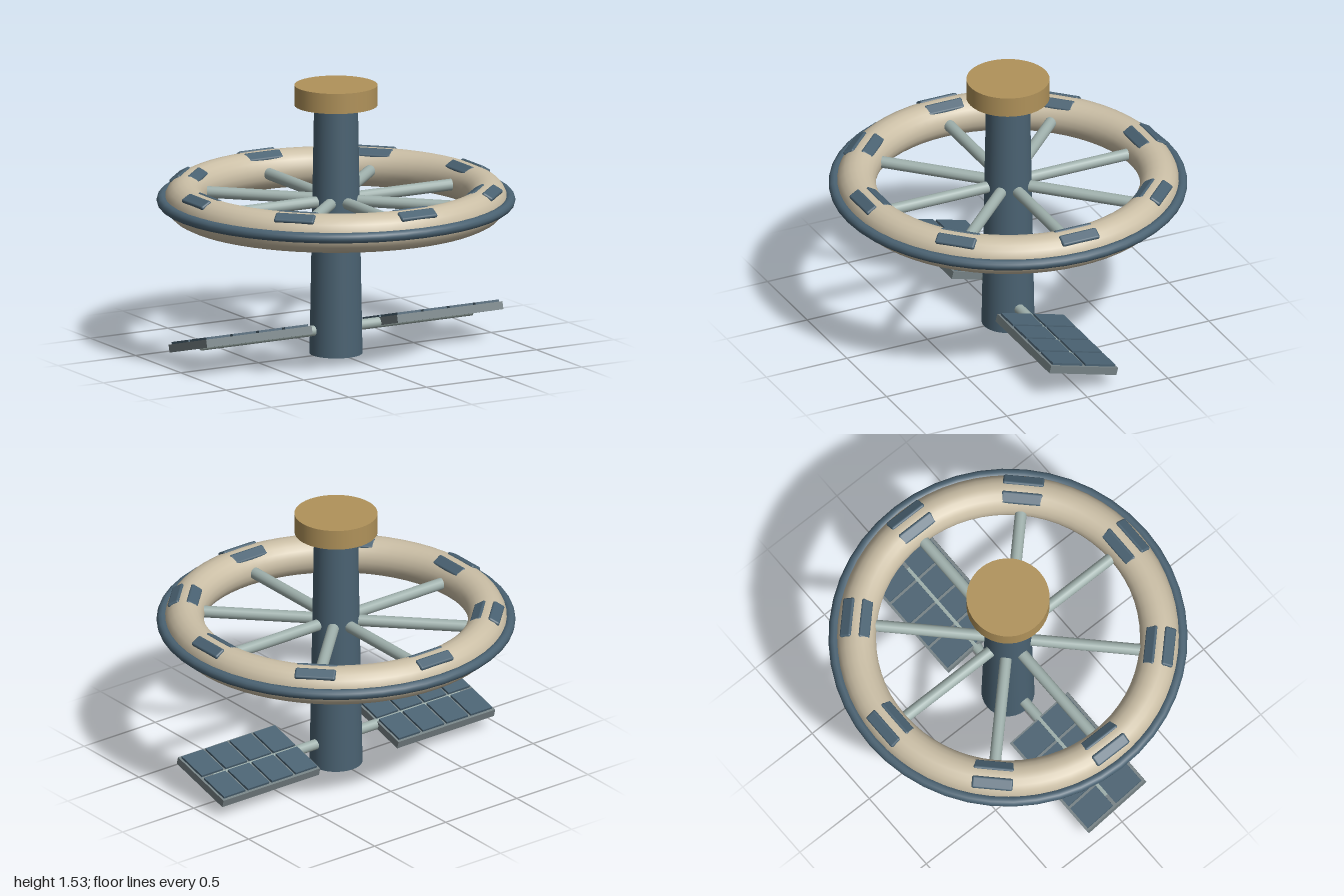
import * as THREE from 'three';
import { RoundedBoxGeometry } from 'three/addons/geometries/RoundedBoxGeometry.js';

const material = (name, color) => {
  const m = new THREE.MeshStandardMaterial({ color });
  m.name = name;
  return m;
};

export function createModel() {
  const blue = material('slate blue', 0x4a6272);
  const cream = material('cream hull', 0xcbbfa6);
  const pale = material('pale strut', 0x9fb0ac);
  const gold = material('gold cap', 0xb0925a);
  const grey = material('grey frame', 0x768285);

  const model = new THREE.Group();
  model.name = 'spaceStation';
  const add = (parent, name, geometry, mat, x = 0, y = 0, z = 0) => {
    const mesh = new THREE.Mesh(geometry, mat);
    mesh.name = name;
    mesh.position.set(x, y, z);
    parent.add(mesh);
    return mesh;
  };

  // Central tower and docking cap
  add(model, 'tower', new THREE.CylinderGeometry(0.122, 0.148, 1.44, 32), blue, 0, 0.72, 0);
  add(model, 'dockingCap', new THREE.CylinderGeometry(0.232, 0.232, 0.115, 40), gold, 0, 1.4725, 0);

  // Habitat ring with its outer bumper
  const ringY = 0.875, ringR = 0.845, tubeR = 0.11;
  add(model, 'habitatRing', new THREE.TorusGeometry(ringR, tubeR, 20, 64).rotateX(Math.PI / 2), cream, 0, ringY, 0);
  add(model, 'bumperRing', new THREE.TorusGeometry(0.97, 0.03, 12, 48).rotateX(Math.PI / 2), blue, 0, ringY, 0);

  // Eight sectors: a spoke and a pair of windows set into the ring's crown
  const spokeGeo = new THREE.CylinderGeometry(0.033, 0.033, 0.66, 16).rotateZ(Math.PI / 2);
  const windowGeo = new RoundedBoxGeometry(0.07, 0.026, 0.23, 3, 0.012);
  for (let i = 0; i < 8; i++) {
    const sector = new THREE.Group();
    sector.name = 'sector';
    sector.position.y = ringY;
    sector.rotation.y = i * Math.PI / 4;
    add(sector, 'spoke', spokeGeo, pale, 0.43, 0, 0);
    for (const side of [1, -1]) {
      const tilt = THREE.MathUtils.degToRad(30);
      const reach = tubeR - 0.008;
      const pane = add(sector, side > 0 ? 'outerWindow' : 'innerWindow', windowGeo, blue,
        ringR + 0.003 + side * reach * Math.sin(tilt), reach * Math.cos(tilt), 0);
      pane.rotation.z = -side * tilt;
    }
    model.add(sector);
  }

  // Boom carrying both solar wings
  add(model, 'wingBoom', new THREE.CylinderGeometry(0.03, 0.03, 1.74, 16).rotateZ(Math.PI / 2), pale, 0, 0.142, 0);

  // Solar wings: tilted frame with a 4 x 2 grid of cells
  const frameGeo = new THREE.BoxGeometry(0.68, 0.045, 0.43);
  const cellGeo = new THREE.BoxGeometry(0.15, 0.018, 0.19);
  for (const side of [1, -1]) {
    const wing = new THREE.Group();
    wing.name = side > 0 ? 'leftWing' : 'rightWing';
    wing.position.set(side * 0.615, 0.147, 0);
    wing.rotation.x = -0.26;
    add(wing, 'wingFrame', frameGeo, grey);
    for (let c = 0; c < 4; c++)
      for (const z of [-0.105, 0.105])
        add(wing, 'solarCell', cellGeo, blue, (c - 1.5) * 0.168, 0.026, z);
    model.add(wing);
  }
  return model;
}
